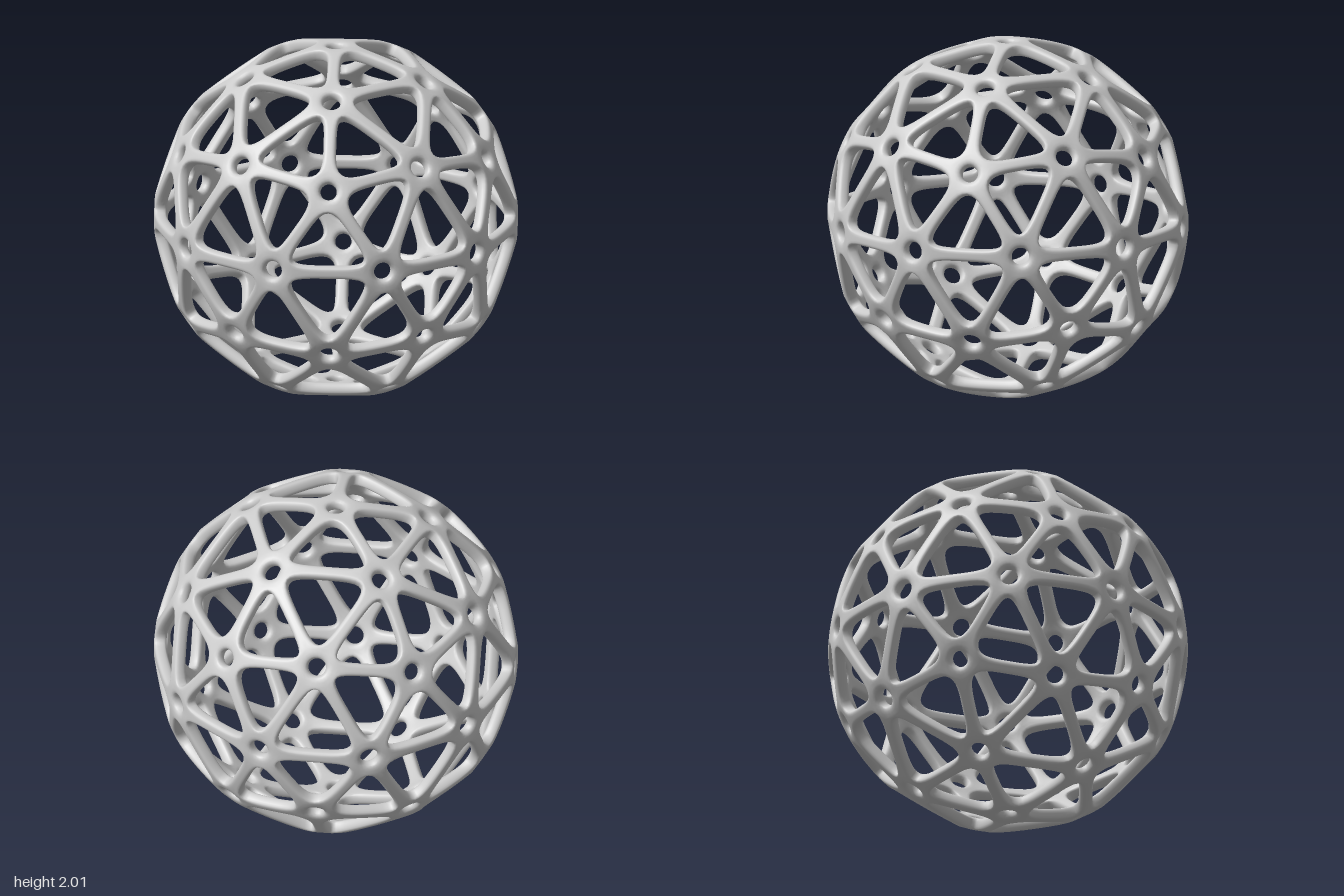
import * as THREE from 'three';

const NODE_R = 1.005, HOLE_R = 0.058, ARM = 0.12, HALF_W = 0.038, THICK = 0.068;

// Hub directions: an icosahedron split once, with one corner on the y axis
function hubDirections() {
  const rings = [[0, 0, 1], [31.717, 0, 5], [58.283, 36, 5], [63.435, 0, 5], [90, 18, 5]];
  const dirs = [];
  for (const [polar, start, count] of rings)
    for (let i = 0; i < count; i++) {
      const d = new THREE.Vector3().setFromSphericalCoords(1,
        THREE.MathUtils.degToRad(polar), THREE.MathUtils.degToRad(90 - start - i * 360 / count));
      dirs.push(d, d.clone().negate());
    }
  return dirs;
}

// Outer skin as quads: a holed hub at each direction, a strut to each neighbour
function buildSkin() {
  const dirs = hubDirections(), points = [], faces = [];
  const add = (p) => points.push(p) - 1;
  const arms = dirs.map((n, a) => {
    const u = new THREE.Vector3(0.31, 0.87, 0.38).cross(n).normalize();
    const v = n.clone().cross(u);
    const list = [];
    dirs.forEach((m, b) => {
      if (b === a || n.dot(m) < 0.75) return;
      const dir = m.clone().addScaledVector(n, -n.dot(m)).normalize();
      const side = n.clone().cross(dir);
      const at = (s, w) => add(n.clone().multiplyScalar(NODE_R).addScaledVector(dir, s).addScaledVector(side, w));
      list.push({
        b, angle: Math.atan2(dir.dot(v), dir.dot(u)),
        hole: at(HOLE_R, 0), end: [at(ARM, -HALF_W), at(ARM, 0), at(ARM, HALF_W)],
      });
    });
    return list.sort((p, q) => p.angle - q.angle);
  });
  arms.forEach((list, a) => list.forEach((arm, k) => {
    // hub ring up to the next arm
    const next = list[(k + 1) % list.length];
    faces.push([arm.hole, arm.end[1], next.end[1], next.hole]);
    faces.push([arm.end[1], arm.end[2], next.end[0], next.end[1]]);
    // half strut, sharing its middle section with the opposite arm
    const twin = arms[arm.b].find((t) => t.b === a);
    arm.mid = twin.mid ? [...twin.mid].reverse() : arm.end.map((p, i) =>
      add(points[p].clone().add(points[twin.end[2 - i]]).multiplyScalar(0.5 * 1.005)));
    for (let i = 0; i < 2; i++)
      faces.push([arm.end[i], arm.mid[i], arm.mid[i + 1], arm.end[i + 1]]);
  }));
  return { points, faces };
}

// Add an inner skin and close every open rim with a wall
function solidify({ points, faces }) {
  const n = points.length, edges = new Set();
  const eachEdge = (fn) => faces.forEach((f) => f.forEach((a, i) => fn(a, f[(i + 1) % 4])));
  eachEdge((a, b) => edges.add(a * n + b));
  const walls = [];
  eachEdge((a, b) => { if (!edges.has(b * n + a)) walls.push([b, a, a + n, b + n]); });
  const inner = faces.map((f) => f.map((i) => i + n).reverse());
  return {
    points: [...points, ...points.map((p) => p.clone().setLength(p.length() - THICK))],
    faces: [...faces, ...inner, ...walls],
  };
}

// One Catmull-Clark step on a closed quad mesh
function subdivide({ points, faces }) {
  const n = points.length, out = points.map(() => new THREE.Vector3());
  const valence = new Array(n).fill(0), edges = new Map(), quads = [];
  const centres = faces.map((f) => {
    const c = new THREE.Vector3();
    f.forEach((i) => c.addScaledVector(points[i], 0.25));
    return out.push(c) - 1;
  });
  const edgeKey = (a, b) => Math.min(a, b) * n + Math.max(a, b);
  faces.forEach((f, fi) => f.forEach((a, i) => {
    const b = f[(i + 1) % 4], key = edgeKey(a, b);
    if (!edges.has(key))
      edges.set(key, out.push(points[a].clone().add(points[b]).multiplyScalar(0.25)) - 1);
    out[edges.get(key)].addScaledVector(out[centres[fi]], 0.25);
    // each corner gathers its face centre and the following edge middle
    valence[a]++;
    out[a].add(out[centres[fi]]).add(points[a]).add(points[b]);
  }));
  for (let i = 0; i < n; i++) {
    const k = valence[i];
    out[i].divideScalar(k * k).addScaledVector(points[i], (k - 3) / k);
  }
  faces.forEach((f, fi) => f.forEach((a, i) => quads.push([
    a, edges.get(edgeKey(a, f[(i + 1) % 4])), centres[fi], edges.get(edgeKey(f[(i + 3) % 4], a)),
  ])));
  return { points: out, faces: quads };
}

export function createModel() {
  const mesh = subdivide(subdivide(solidify(buildSkin())));
  const geometry = new THREE.BufferGeometry().setFromPoints(mesh.points);
  geometry.setIndex(mesh.faces.flatMap(([a, b, c, d]) => [a, b, c, a, c, d]));
  geometry.computeVertexNormals();
  geometry.translate(0, 1, 0);

  const lattice = new THREE.Mesh(geometry, new THREE.MeshStandardMaterial({ color: 0xcccccc }));
  lattice.name = 'latticeSphere';
  const group = new THREE.Group();
  group.name = 'geodesicLattice';
  group.add(lattice);
  return group;
}
